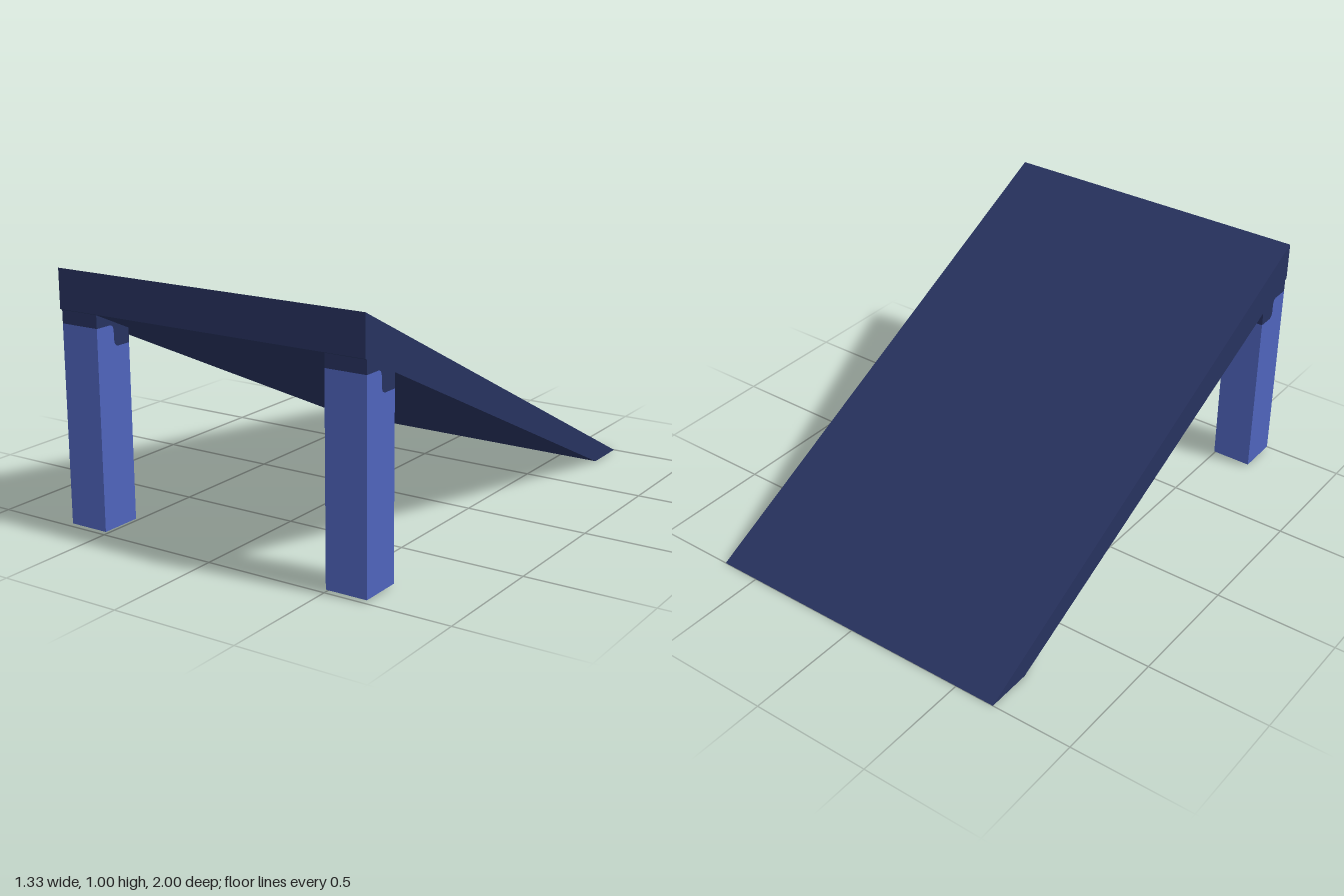
import * as THREE from 'three';

const HALF_WIDTH = 0.667;
const LEG_WIDTH = 0.167;

// Extrude a side profile of [z, y] points across x, from xMin to xMax
function sideExtrude(points, xMin, xMax) {
  const shape = new THREE.Shape(points.map(([z, y]) => new THREE.Vector2(z, y)));
  const geometry = new THREE.ExtrudeGeometry(shape, { depth: xMax - xMin, bevelEnabled: false });
  geometry.rotateY(-Math.PI / 2);
  geometry.translate(xMax, 0, 0);
  return geometry;
}

export function createModel() {
  const navy = new THREE.MeshStandardMaterial({ color: 0x27325f });
  navy.name = 'navy';
  const blue = new THREE.MeshStandardMaterial({ color: 0x4f64bc });
  blue.name = 'blue';

  const model = new THREE.Group();
  model.name = 'ramp';

  const add = (name, geometry, material, parent) => {
    const mesh = new THREE.Mesh(geometry, material);
    mesh.name = name;
    parent.add(mesh);
  };

  // Sloping deck with a vertical front edge and a flat foot at the back
  const deck = [[-1, 0], [-0.81, 0], [0.82, 0.762], [1, 0.846], [1, 1]];
  add('deck', sideExtrude(deck, -HALF_WIDTH, HALF_WIDTH), navy, model);

  // Stepped line where the dark cap meets the leg, front to back
  const step = [
    [0.99, 0.79], [0.918, 0.79], [0.906, 0.784], [0.901, 0.768],
    [0.901, 0.732], [0.897, 0.715], [0.885, 0.706], [0.82, 0.706],
  ];
  const post = [[0.82, 0.008], [0.99, 0.008], ...step];
  const cap = [...step].reverse().concat([[0.99, 0.842], [0.82, 0.763]]);

  // Two front legs, each a light post under a dark cap
  for (const [side, xMin] of [['left', HALF_WIDTH - LEG_WIDTH], ['right', -HALF_WIDTH]]) {
    const leg = new THREE.Group();
    leg.name = side + 'Leg';
    add('post', sideExtrude(post, xMin, xMin + LEG_WIDTH), blue, leg);
    add('cap', sideExtrude(cap, xMin, xMin + LEG_WIDTH), navy, leg);
    model.add(leg);
  }

  return model;
}
